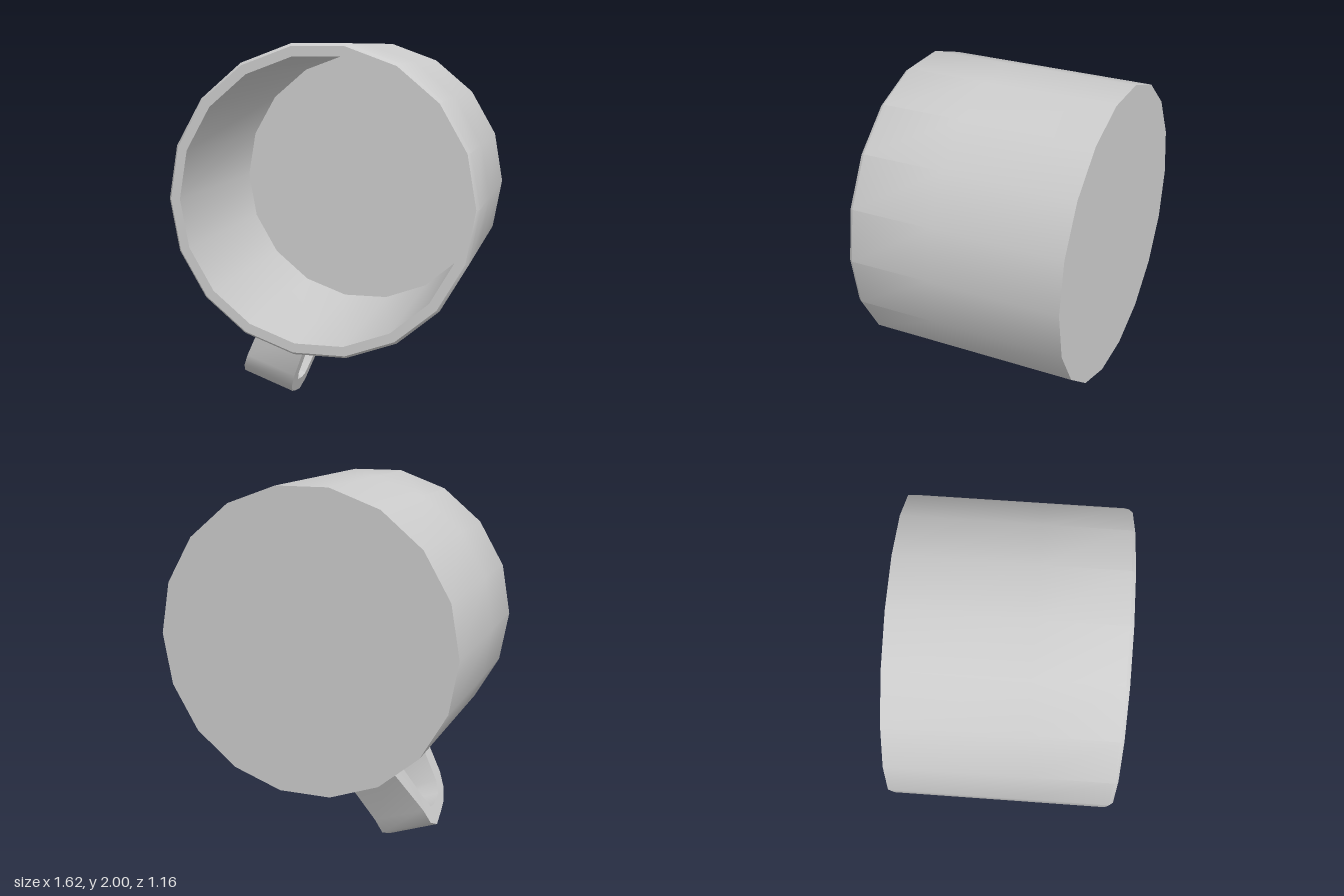
import * as THREE from 'three';
import { toCreasedNormals } from 'three/addons/utils/BufferGeometryUtils.js';

const CENTRE_Y = 1.202;
const SIDES = 18;
const points = (list) => list.map(([a, b]) => new THREE.Vector2(a, b));

export function createModel() {
  const group = new THREE.Group();
  group.name = 'mug';
  const material = new THREE.MeshStandardMaterial({ color: 0xcccccc });

  function add(name, geometry, crease) {
    const mesh = new THREE.Mesh(toCreasedNormals(geometry, crease), material);
    mesh.name = name;
    group.add(mesh);
  }

  // Cup lying on its side, mouth towards +z: base, wall, bevelled rim, inside wall, floor
  const profile = points([
    [0, -0.58], [0.62, -0.58], [0.81, -0.58], [0.81, 0.12], [0.81, 0.56], [0.795, 0.58],
    [0.745, 0.58], [0.745, -0.5], [0, -0.5],
  ]);
  const cup = new THREE.LatheGeometry(profile, SIDES, Math.PI / 2);
  cup.rotateX(Math.PI / 2).translate(0, CENTRE_Y, 0);
  add('cup', cup, 0.7);

  // Handle: band outline as (z, distance from the cup's axis), outer edge then inner edge
  const outline = points([
    [0.275, 0.75], [0.275, 1.03], [0.235, 1.11], [0.16, 1.17], [0.07, 1.2], [-0.05, 1.231],
    [-0.13, 1.19], [-0.165, 1.1], [-0.34, 0.8], [-0.37, 0.75],
    [-0.24, 0.75], [-0.2, 0.82], [-0.1, 1.04], [-0.05, 1.125], [0.01, 1.13], [0.12, 1.11],
    [0.17, 1.05], [0.175, 0.75],
  ]);
  const handle = new THREE.ExtrudeGeometry(new THREE.Shape(outline), {
    depth: 0.27, bevelEnabled: false,
  });
  handle.translate(0, 0, -0.135);

  // Widen one edge of the band slightly towards the grip
  const pos = handle.attributes.position;
  for (let i = 0; i < pos.count; i++) {
    if (pos.getZ(i) < 0) {
      const grip = THREE.MathUtils.clamp((pos.getY(i) - 0.8) / 0.35, 0, 1);
      pos.setZ(i, pos.getZ(i) - 0.03 * grip);
    }
  }

  // Hang the handle from the facet 20 degrees off straight down
  const tilt = THREE.MathUtils.degToRad(20);
  const out = new THREE.Vector3(-Math.sin(tilt), -Math.cos(tilt), 0);
  const across = new THREE.Vector3(Math.cos(tilt), -Math.sin(tilt), 0);
  const frame = new THREE.Matrix4().makeBasis(new THREE.Vector3(0, 0, 1), out, across);
  handle.applyMatrix4(frame).translate(0, CENTRE_Y, 0);
  add('handle', handle, 0.8);

  return group;
}
